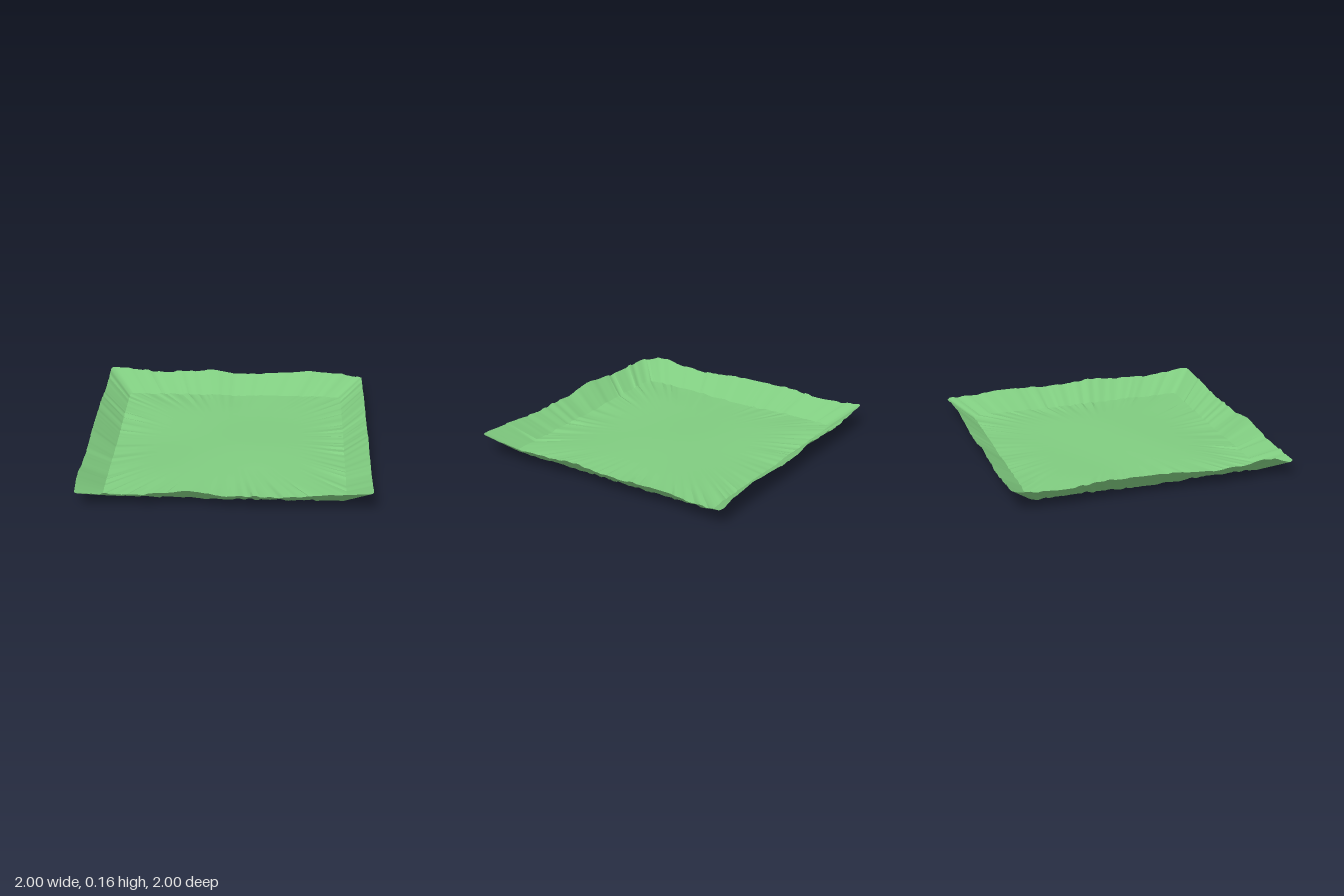
import * as THREE from 'three';
import { toCreasedNormals } from 'three/addons/utils/BufferGeometryUtils.js';

// Rim heights every 0.2 units, anticlockwise from the front right-hand corner
const RIM = [
  0.11, 0.115, 0.11, 0.13, 0.15, 0.12, 0.12, 0.115, 0.135, 0.15, // front
  0.16, 0.14, 0.122, 0.13, 0.15, 0.135, 0.13, 0.14, 0.14, 0.12,  // left
  0.118, 0.14, 0.155, 0.14, 0.125, 0.13, 0.15, 0.14, 0.125, 0.15, // back
  0.16, 0.142, 0.135, 0.155, 0.155, 0.155, 0.14, 0.12, 0.13, 0.155, // right
];
const PER_SIDE = 80, COUNT = PER_SIDE * 4, RADIUS = 0.035;

// Repeatable value between -1 and 1
const hash = (n) => {
  const s = Math.sin(n * 127.1 + 11.7) * 43758.5453;
  return (s - Math.floor(s)) * 2 - 1;
};

// Point on the unit rounded square
function outline(i) {
  const side = Math.floor(i / PER_SIDE) % 4;
  const t = -1 + 2 * (i % PER_SIDE) / PER_SIDE;
  const [x, z] = [[t, 1], [1, -t], [-t, -1], [-1, t]][side];
  const k = 1 - RADIUS;
  const cx = THREE.MathUtils.clamp(x, -k, k), cz = THREE.MathUtils.clamp(z, -k, k);
  const d = Math.hypot(x - cx, z - cz);
  return [cx + (x - cx) / d * RADIUS, cz + (z - cz) / d * RADIUS];
}

function rimHeight(i) {
  const u = i / COUNT * RIM.length, a = Math.floor(u);
  const f = THREE.MathUtils.smoothstep(u - a, 0, 1);
  const base = THREE.MathUtils.lerp(RIM[a % RIM.length], RIM[(a + 1) % RIM.length], f);
  return base + 0.006 * hash(Math.floor(i / 2));
}

// Gentle swells across the floor
const swell = (x, z) => 0.016 + 0.006 * Math.sin(4 * x + 1) * Math.cos(5 * z) + 0.004 * Math.sin(6 * z + 2 * x);

// Height of the sheet on ring r (scale 0..1) at perimeter step i
function height(r, i, x, z) {
  if (r === 1) return Math.min(rimHeight(i), 0.166);
  const crease = THREE.MathUtils.smoothstep(r, 0.5, 0.83);
  const ripple = 0.006 * hash(Math.floor(i / 2)) + 0.003 * hash(i + 500);
  return Math.max(0, swell(x, z) * (1 - 0.4 * crease) + ripple * crease);
}

export function createModel() {
  const group = new THREE.Group();
  group.name = 'crinkledTray';

  const rings = [0, 0.1, 0.2, 0.3, 0.4, 0.5, 0.58, 0.64, 0.71, 0.77, 0.833, 1];
  const positions = [], index = [];
  rings.forEach((r, ring) => {
    for (let i = 0; i < COUNT; i++) {
      const [ox, oz] = outline(i);
      positions.push(ox * r, height(r, i, ox * r, oz * r), oz * r);
      if (ring === 0) continue;
      const j = (i + 1) % COUNT;
      const a = (ring - 1) * COUNT, b = ring * COUNT;
      index.push(b + i, b + j, a + j);
      if (ring > 1) index.push(b + i, a + j, a + i);
    }
  });

  // Single thin sheet: flat floor, creased border and flared rim
  const geometry = new THREE.BufferGeometry();
  geometry.setAttribute('position', new THREE.Float32BufferAttribute(positions, 3));
  geometry.setIndex(index);
  const material = new THREE.MeshStandardMaterial({ color: 0x80cc80, side: THREE.DoubleSide });
  const sheet = new THREE.Mesh(toCreasedNormals(geometry, 0.45), material);
  sheet.name = 'sheet';
  group.add(sheet);
  return group;
}
